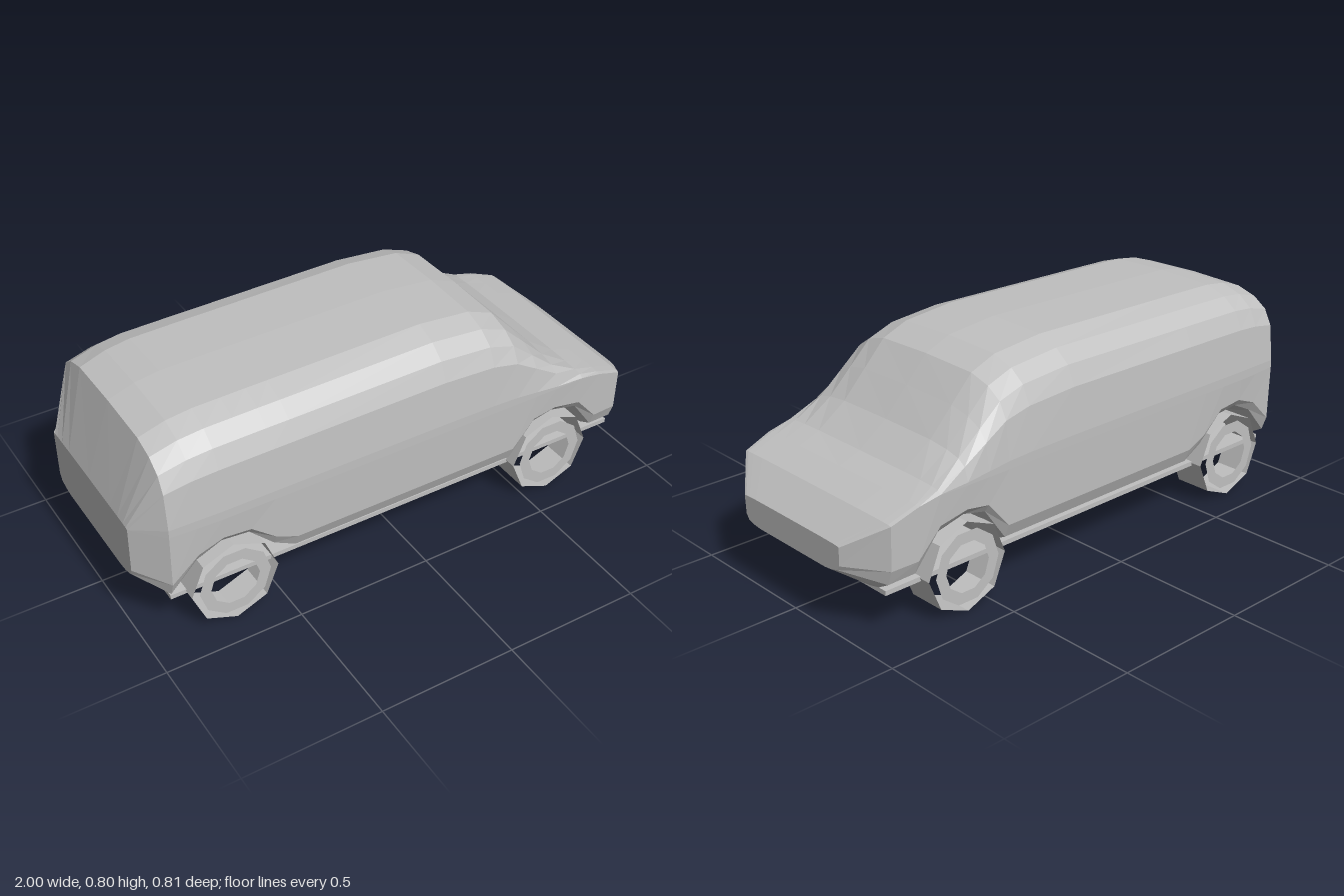
import * as THREE from 'three';

const paint = new THREE.MeshStandardMaterial({ color: 0xc0c0c0, flatShading: true, side: THREE.DoubleSide });
paint.name = 'light grey';

// Upper half-profile: [half width, share of the height from belt line to roof]
const UPPER = [[0, 1], [0.225, 0.98], [0.305, 0.9], [0.36, 0.77], [0.39, 0.57], [0.405, 0.1], [0.405, 0]];
// Lower half-profile: [half width, share of the sill chamfer height above the underside]
const LOWER = [[0.4, 1], [0.38, 0.42], [0.33, 0.12], [0.28, 0], [0, 0]];

// Body stations along x: [x, roof, underside, belt, width scale, sill chamfer]
const STATIONS = [
  [-1, 0.455, 0.235, 0.45, 0.72, 0.04],
  [-0.905, 0.735, 0.155, 0.45, 0.975, 0.09],
  [-0.81, 0.767, 0.275, 0.45, 0.99, 0.06],
  [-0.72, 0.78, 0.325, 0.45, 1, 0.045],
  [-0.62, 0.782, 0.315, 0.45, 1, 0.045],
  [-0.53, 0.784, 0.215, 0.45, 1, 0.07],
  [-0.45, 0.785, 0.165, 0.45, 1, 0.085],
  [0.13, 0.795, 0.165, 0.45, 1, 0.085],
  [0.33, 0.775, 0.165, 0.45, 1, 0.085],
  [0.43, 0.735, 0.165, 0.45, 1, 0.085],
  [0.515, 0.645, 0.3, 0.45, 1, 0.05],
  [0.605, 0.55, 0.325, 0.45, 1, 0.04],
  [0.715, 0.472, 0.295, 0.452, 1, 0.05],
  [0.8, 0.442, 0.165, 0.436, 0.985, 0.085],
  [0.9, 0.405, 0.155, 0.4, 0.96, 0.09],
  [1, 0.32, 0.22, 0.315, 0.63, 0.03],
];

// One closed cross-section, from roof centre over the left side and back
function section([x, top, bottom, belt, scale, sill]) {
  const half = [
    ...UPPER.map(([z, f]) => [x, belt + (top - belt) * f, z * scale]),
    ...LOWER.map(([z, f]) => [x, bottom + sill * f, z * scale]),
  ];
  const mirrored = half.slice(1, -1).reverse().map(([px, y, z]) => [px, y, -z]);
  return [...half, ...mirrored];
}

function bodyGeometry() {
  const rings = STATIONS.map(section);
  const n = rings[0].length;
  const positions = rings.flat(2);
  const index = [];
  for (let i = 0; i < rings.length - 1; i++) {
    for (let j = 0; j < n; j++) {
      const k = (j + 1) % n;
      const a = i * n + j, b = (i + 1) * n + j, c = i * n + k, d = (i + 1) * n + k;
      index.push(a, c, b, b, c, d);
    }
  }
  // Flat nose and tail panels
  const last = (rings.length - 1) * n;
  for (let j = 1; j < n - 1; j++) {
    index.push(0, j + 1, j);
    index.push(last, last + j, last + j + 1);
  }
  const geometry = new THREE.BufferGeometry();
  geometry.setAttribute('position', new THREE.Float32BufferAttribute(positions, 3));
  geometry.setIndex(index);
  const flat = geometry.toNonIndexed();
  flat.computeVertexNormals();
  return flat;
}

function addMesh(parent, name, geometry) {
  const mesh = new THREE.Mesh(geometry, paint);
  mesh.name = name;
  parent.add(mesh);
  return mesh;
}

// Open eight-sided tread with a flat ten-sided rim on its outer side
function makeWheel(name) {
  const wheel = new THREE.Group();
  wheel.name = name;
  addMesh(wheel, 'tread', new THREE.CylinderGeometry(0.16, 0.16, 0.14, 8, 1, true).rotateX(Math.PI / 2));
  addMesh(wheel, 'rim', new THREE.RingGeometry(0.09, 0.132, 10)).position.z = 0.07;
  return wheel;
}

export function createModel() {
  const van = new THREE.Group();
  van.name = 'van';
  addMesh(van, 'body', bodyGeometry());

  // Thin floor plate running between the wheels
  const floor = addMesh(van, 'floor', new THREE.BoxGeometry(1.8, 0.017, 0.7));
  floor.position.y = 0.157;

  for (const [end, x] of [['rear', -0.685], ['front', 0.603]]) {
    for (const side of [1, -1]) {
      const wheel = makeWheel(end + (side > 0 ? 'NearWheel' : 'FarWheel'));
      wheel.position.set(x, 0.16, side * 0.325);
      if (side < 0) wheel.rotation.y = Math.PI;
      van.add(wheel);
    }
  }
  return van;
}
